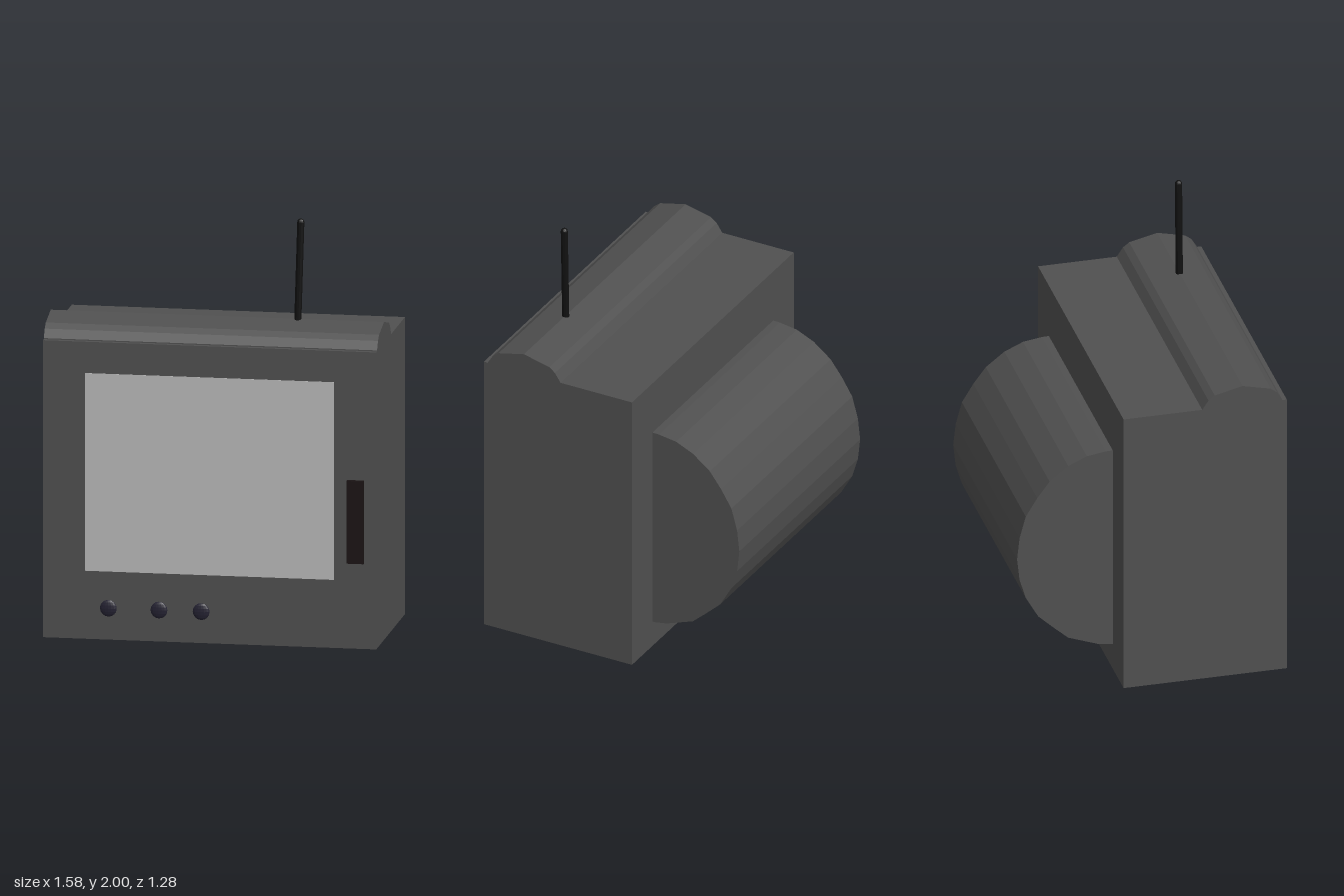
import * as THREE from 'three';

const material = (color) => new THREE.MeshStandardMaterial({ color, flatShading: true });

// Extrudes a side profile of [z, y] points across the width, centred on x = 0
function acrossWidth(points, width) {
  const shape = new THREE.Shape(points.map(([z, y]) => new THREE.Vector2(-z, y)));
  const geometry = new THREE.ExtrudeGeometry(shape, { depth: width, bevelEnabled: false });
  return geometry.translate(0, 0, -width / 2).rotateY(Math.PI / 2);
}

export function createModel() {
  const model = new THREE.Group();
  model.name = 'television';

  const casing = material(0x505050);
  const glass = material(0xbababa);
  const knobColor = material(0x242232);
  const gripColor = material(0x1a1314);
  const black = material(0x111111);

  const add = (name, geometry, mat, x = 0, y = 0, z = 0) => {
    const mesh = new THREE.Mesh(geometry, mat);
    mesh.name = name;
    mesh.position.set(x, y, z);
    model.add(mesh);
    return mesh;
  };

  // Main case
  const front = 0.613, back = -0.175;
  add('case', new THREE.BoxGeometry(1.58, 1.42, front - back), casing, 0, 0.71, (front + back) / 2);

  // Faceted ridge along the top
  add('topRidge', acrossWidth([
    [0.59, 1.41], [0.59, 1.425], [0.565, 1.465], [0.535, 1.488], [0.4, 1.52],
    [0.265, 1.488], [0.235, 1.465], [0.205, 1.42], [0.205, 1.41],
  ], 1.58), casing);

  // Rounded tube housing on the back
  add('tubeHousing', acrossWidth([
    [-0.16, 1.155], [-0.21, 1.153], [-0.3, 1.14], [-0.39, 1.1], [-0.48, 1.03],
    [-0.54, 0.95], [-0.595, 0.86], [-0.625, 0.75], [-0.637, 0.64], [-0.625, 0.53],
    [-0.595, 0.43], [-0.535, 0.325], [-0.46, 0.255], [-0.39, 0.193], [-0.25, 0.142],
    [-0.19, 0.132], [-0.16, 0.132],
  ], 1.18), casing);

  // Screen, almost flush with the front
  add('screen', new THREE.BoxGeometry(1.18, 0.945, 0.02), glass, 0, 0.798, front - 0.008);

  // Low domed knobs
  for (const x of [-0.48, -0.24, -0.04]) {
    const knob = new THREE.SphereGeometry(0.04, 16, 8).scale(1, 1, 0.3);
    add('knob', knob, knobColor, x, 0.15, front);
  }

  // Raised grip beside the screen
  add('grip', new THREE.BoxGeometry(0.08, 0.395, 0.05), gripColor, 0.693, 0.608, front);

  // Slightly leaning antenna with a rounded tip
  const antenna = add('antenna', new THREE.CapsuleGeometry(0.017, 0.5, 4, 10), black, 0.388, 1.733, 0.4);
  antenna.rotation.z = -0.03;

  return model;
}
